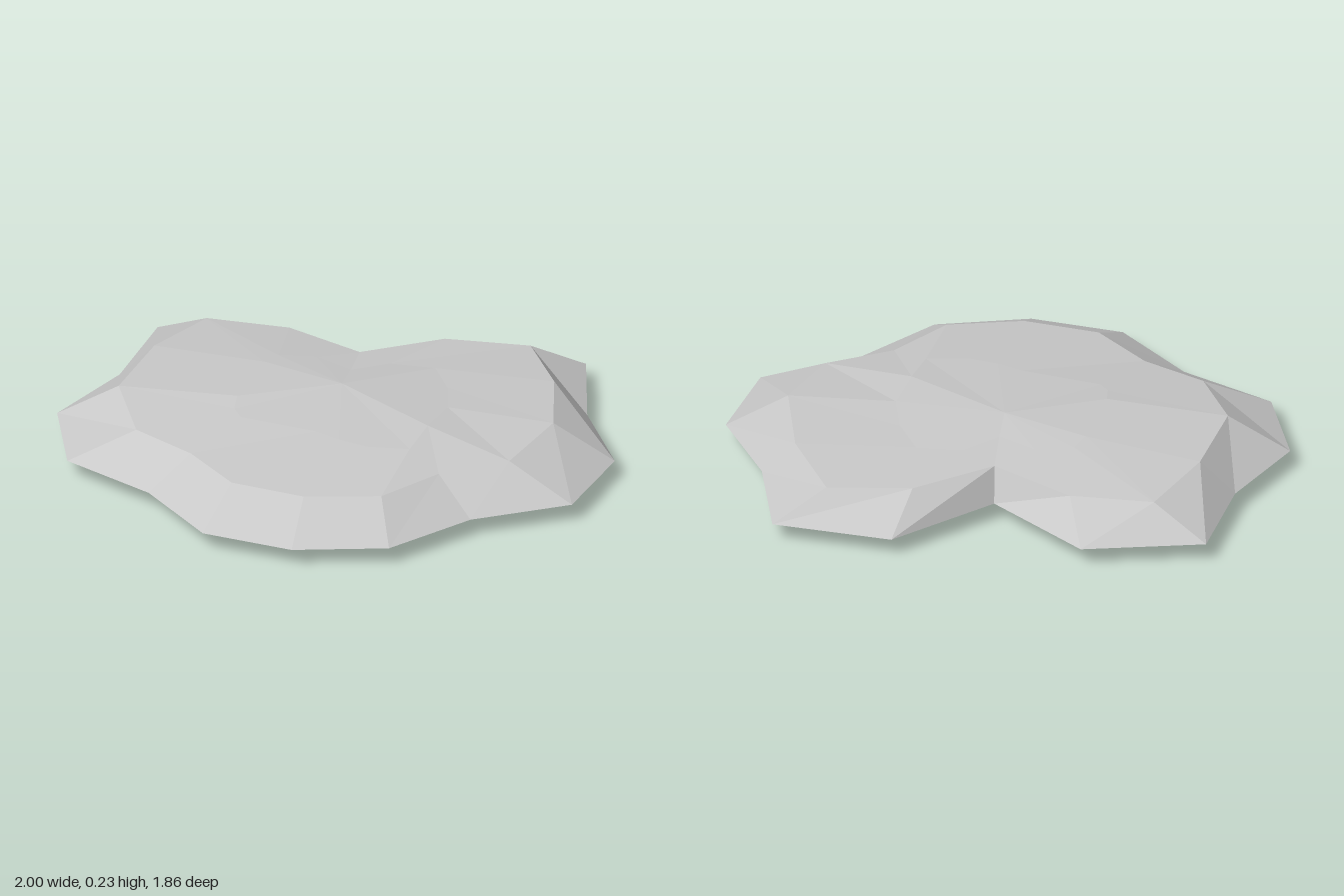
import * as THREE from 'three';

// Plan outlines as [x, z, y], running clockwise from the back
const rim = [
  [0.39, -0.93], [0.63, -0.62], [0.92, -0.40], [1.0, -0.04],
  [0.78, 0.27], [0.68, 0.62], [0.41, 0.84], [0.08, 0.93],
  [-0.26, 0.80], [-0.64, 0.78], [-0.89, 0.51], [-0.89, 0.14],
  [-1.0, -0.23], [-0.64, -0.50], [-0.20, -0.38], [-0.03, -0.80],
].map(([x, z]) => [x, z, 0.068]);

const shoulder = [
  [0.27, -0.76, 0.175], [0.52, -0.57, 0.19], [0.72, -0.30, 0.2], [0.75, 0, 0.182],
  [0.60, 0.22, 0.175], [0.54, 0.48, 0.175], [0.32, 0.65, 0.175], [0.05, 0.72, 0.175],
  [-0.20, 0.63, 0.175], [-0.46, 0.61, 0.18], [-0.69, 0.41, 0.2], [-0.78, 0.08, 0.195],
  [-0.78, -0.23, 0.175], [-0.50, -0.35, 0.175], [-0.17, -0.33, 0.19], [0, -0.61, 0.18],
];

const crown = [
  [0.13, -0.38, 0.2], [0.26, -0.28, 0.204], [0.36, -0.15, 0.212], [0.40, 0.02, 0.222],
  [0.44, 0.18, 0.207], [0.31, 0.26, 0.209], [0.20, 0.28, 0.211], [0.10, 0.28, 0.212],
  [-0.19, 0.35, 0.208], [-0.24, 0.32, 0.213], [-0.28, 0.25, 0.223], [-0.36, -0.02, 0.221],
  [-0.36, -0.10, 0.214], [-0.25, -0.18, 0.208], [-0.09, -0.17, 0.211], [-0.02, -0.31, 0.2],
];

// Underside rings shrink from the rim towards the lowest point
const shrink = (s, y) => rim.map(([x, z]) => [x * s, z * s, y]);
const point = (x, z, y) => rim.map(() => [x, z, y]);

// Joins a stack of rings, lowest first, into faceted faces
function loft(rings) {
  const pos = [];
  const tri = (...corners) => corners.forEach(([x, z, y]) => pos.push(x, y, z));
  const same = (a, b) => a.every((v, k) => v === b[k]);
  for (let r = 0; r < rings.length - 1; r++) {
    const lo = rings[r], hi = rings[r + 1];
    for (let i = 0; i < lo.length; i++) {
      const j = (i + 1) % lo.length;
      if (!same(lo[i], lo[j])) tri(lo[i], hi[i], lo[j]);
      if (!same(hi[i], hi[j])) tri(lo[j], hi[i], hi[j]);
    }
  }
  const g = new THREE.BufferGeometry();
  g.setAttribute('position', new THREE.Float32BufferAttribute(pos, 3));
  g.computeVertexNormals();
  return g;
}

export function createModel() {
  const stone = new THREE.MeshStandardMaterial({ color: 0xc8c8c8, flatShading: true });
  stone.name = 'stone grey';

  const group = new THREE.Group();
  group.name = 'flatRock';

  // Bevelled, gently domed upper side
  const top = new THREE.Mesh(loft([rim, shoulder, crown, point(-0.03, -0.04, 0.23)]), stone);
  top.name = 'rockTop';

  // Shallow bowl-shaped underside
  const base = new THREE.Mesh(loft([point(0, 0, 0), shrink(0.4, 0.014), shrink(0.74, 0.04), rim]), stone);
  base.name = 'rockUnderside';

  group.add(top, base);
  return group;
}
